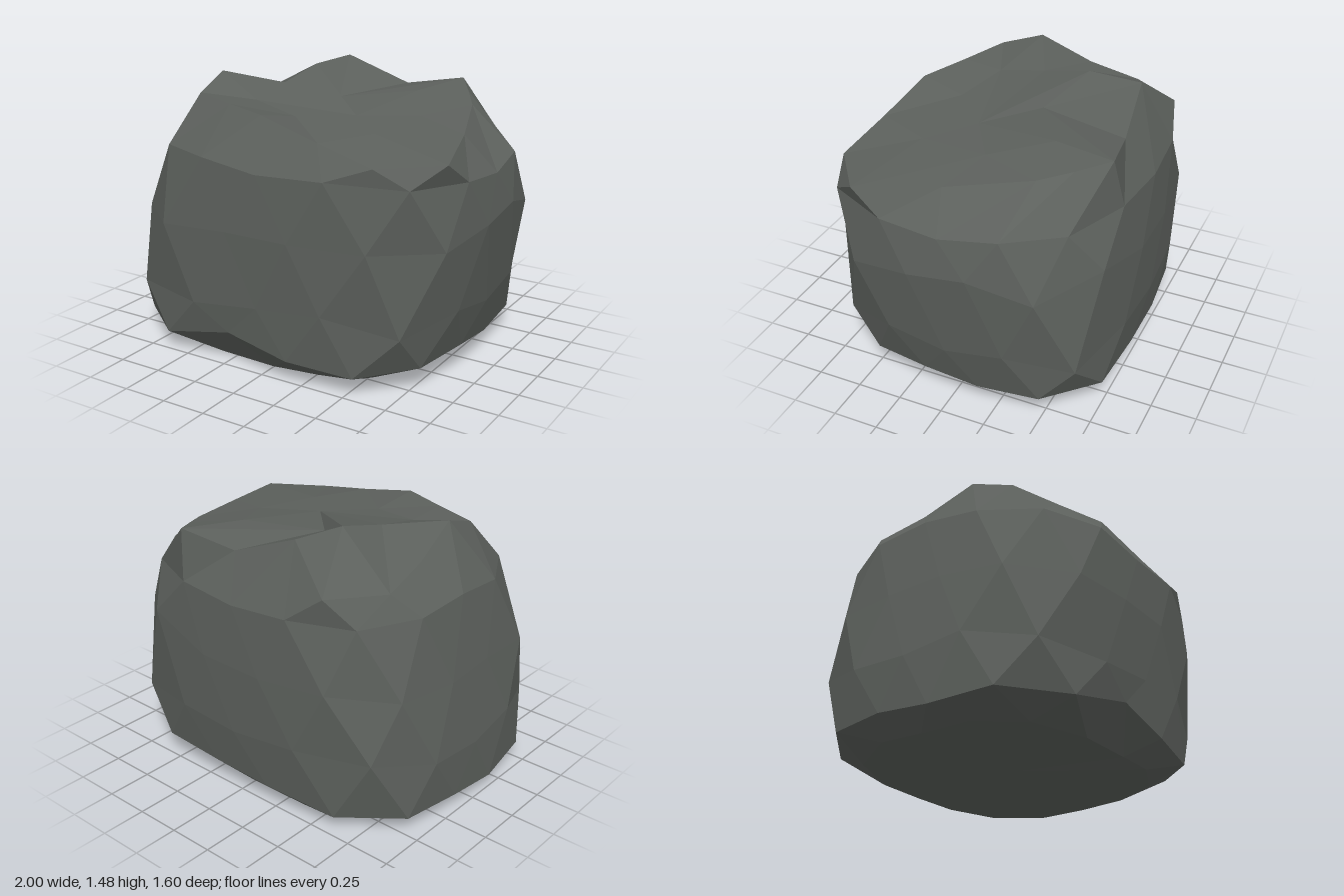
import * as THREE from 'three';

const N = 16; // points round each ring, from +x towards +z

// Side rings: height, tilt towards +x, roughness of height,
// reach to +x, -x, +z and -z, and squareness of the four corners (from +x+z round to +x-z)
const RINGS = [
  { y: 0.015, tilt: 0, rough: 0.03, reach: [0.68, 0.83, 0.64, 0.66], corners: [3, 3.2, 3, 3.4] },
  { y: 0.11, tilt: 0.03, rough: 0.04, reach: [0.87, 0.99, 0.78, 0.76], corners: [3.2, 4, 3.3, 5.5] },
  { y: 0.4, tilt: 0, rough: 0.12, reach: [0.94, 0.99, 0.795, 0.795], corners: [3.4, 4.2, 3.5, 4.3] },
  { y: 0.8, tilt: 0.05, rough: 0.12, reach: [1, 0.94, 0.8, 0.8], corners: [3.7, 4.3, 3.4, 3.4] },
  { y: 1.13, tilt: -0.03, rough: 0.04, reach: [0.97, 0.87, 0.78, 0.785], corners: [4, 2.9, 3, 2.5] },
];

// Sharp edge round the broken top
const RIM = [
  [0.8, 1.27, 0.05], [0.93, 1.23, 0.49], [0.64, 1.22, 0.71], [0.3, 1.29, 0.66],
  [-0.07, 1.375, 0.61], [-0.35, 1.38, 0.5], [-0.63, 1.39, 0.39], [-0.66, 1.47, 0.15],
  [-0.7, 1.34, -0.14], [-0.73, 1.27, -0.42], [-0.54, 1.28, -0.7], [-0.27, 1.485, -0.59],
  [0.1, 1.345, -0.64], [0.43, 1.4, -0.7], [0.54, 1.36, -0.54], [0.64, 1.325, -0.38],
];

// Hollows and ridges inside the rim
const HOLLOW = [
  [0.5, 1.315, -0.04], [0.44, 1.29, 0.35], [-0.03, 1.325, 0.36], [-0.34, 1.36, 0.27],
  [-0.34, 1.41, 0], [-0.31, 1.475, -0.28], [-0.05, 1.34, -0.12], [0.32, 1.375, -0.35],
];

function seeded(seed) {
  return () => {
    seed = (seed * 16807) % 2147483647;
    return seed / 2147483647 - 0.5;
  };
}

// Rounded-square ring; every other ring is turned by half a step
function ringPoints({ y, tilt, rough, reach, corners }, r, random) {
  return Array.from({ length: N }, (_, i) => {
    const angle = ((i + (r % 2) * 0.5) / N) * Math.PI * 2;
    const c = Math.cos(angle), s = Math.sin(angle);
    const p = corners[Math.floor(angle / (Math.PI / 2))];
    const radius = (Math.abs(c) ** p + Math.abs(s) ** p) ** (-1 / p) * (1 + random() * 0.015);
    const u = c * radius, v = s * radius;
    return [
      u * (u > 0 ? reach[0] : reach[1]),
      y + tilt * u + random() * rough,
      v * (v > 0 ? reach[2] : reach[3]),
    ];
  });
}

function boulderGeometry() {
  const random = seeded(41);
  const positions = [];
  const tri = (a, b, c) => positions.push(...a, ...b, ...c);

  const rings = RINGS.map((ring, r) => ringPoints(ring, r, random));
  rings[1][4][1] = 0.21; // chipped lower front edge
  rings.push(RIM);

  // Sides
  for (let r = 0; r + 1 < rings.length; r++) {
    for (let i = 0; i < N; i++) {
      const j = (i + 1) % N;
      const a = rings[r][i], b = rings[r][j], c = rings[r + 1][i], d = rings[r + 1][j];
      if (r % 2) {
        tri(a, c, d);
        tri(a, d, b);
      } else {
        tri(a, c, b);
        tri(b, c, d);
      }
    }
  }

  // Broken top
  const middle = [0.21, 1.315, 0.14];
  for (let k = 0; k < HOLLOW.length; k++) {
    const p = HOLLOW[k], q = HOLLOW[(k + 1) % HOLLOW.length];
    const a = RIM[2 * k], b = RIM[2 * k + 1], c = RIM[(2 * k + 2) % N];
    tri(a, p, b);
    tri(b, p, q);
    tri(b, q, c);
    tri(p, middle, q);
  }

  // Slightly hollow underside
  const base = [-0.05, 0.04, 0];
  for (let i = 0; i < N; i++) tri(base, rings[0][i], rings[0][(i + 1) % N]);

  const geometry = new THREE.BufferGeometry();
  geometry.setAttribute('position', new THREE.Float32BufferAttribute(positions, 3));
  geometry.computeVertexNormals();
  return geometry;
}

export function createModel() {
  const stone = new THREE.MeshStandardMaterial({ color: 0x5c605c, flatShading: true });
  stone.name = 'darkGreyStone';
  const boulder = new THREE.Mesh(boulderGeometry(), stone);
  boulder.name = 'boulder';
  const model = new THREE.Group();
  model.name = 'rock';
  model.add(boulder);
  return model;
}
